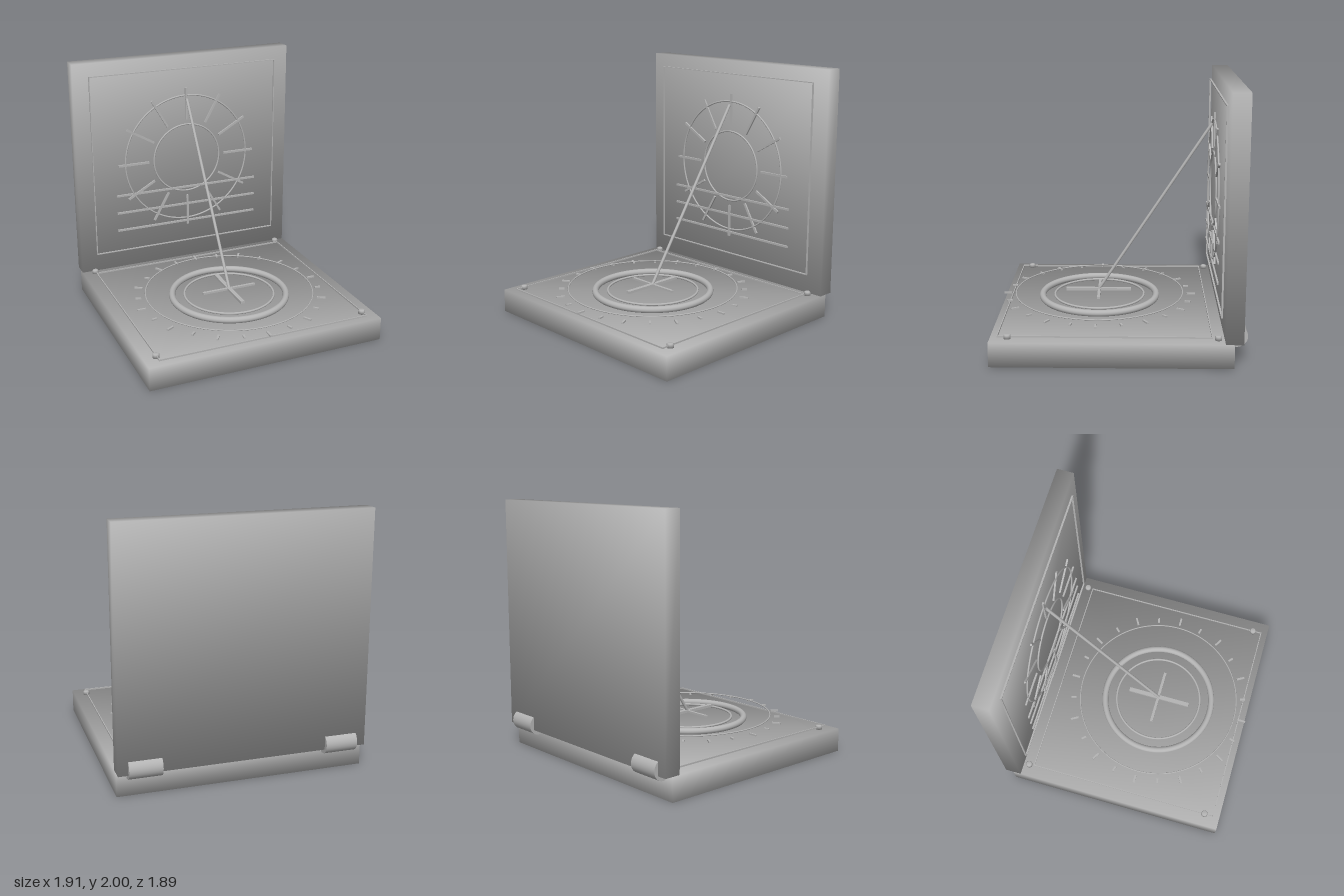
import * as THREE from 'three';

const metal = new THREE.MeshStandardMaterial({ color: 0xb4b4b4 });
metal.name = 'greyMetal';

function add(parent, name, geometry, x = 0, y = 0, z = 0) {
  const mesh = new THREE.Mesh(geometry, metal);
  mesh.name = name;
  mesh.position.set(x, y, z);
  parent.add(mesh);
  return mesh;
}

function group(parent, name, x = 0, y = 0, z = 0) {
  const g = new THREE.Group();
  g.name = name;
  g.position.set(x, y, z);
  parent.add(g);
  return g;
}

// A slab whose corner normals point outwards, so its shading rolls over the edges
function softSlab(w, h, d) {
  const geometry = new THREE.BoxGeometry(w, h, d);
  const { position, normal } = geometry.attributes;
  const n = new THREE.Vector3();
  for (let i = 0; i < position.count; i++) {
    n.fromBufferAttribute(position, i);
    n.set(Math.sign(n.x), Math.sign(n.y), Math.sign(n.z)).normalize();
    normal.setXYZ(i, n.x, n.y, n.z);
  }
  return geometry;
}

// Ring lying in the local xy plane
const ring = (radius, tube) => new THREE.TorusGeometry(radius, tube, 12, 96);

// Thin rectangular border in the local xy plane
function border(parent, name, w, h, t, depth) {
  for (const s of [-1, 1]) {
    add(parent, name + 'Rail', new THREE.BoxGeometry(w, t, depth), 0, s * (h - t) / 2, 0);
    add(parent, name + 'Stile', new THREE.BoxGeometry(t, h - 2 * t, depth), s * (w - t) / 2, 0, 0);
  }
}

// Radial bars in the local xy plane, from inner radius to outer(i)
function ticks(parent, name, count, inner, outer, width, depth) {
  for (let i = 0; i < count; i++) {
    const a = (i / count) * Math.PI * 2;
    const r = (inner + outer(i)) / 2;
    const bar = add(parent, name, new THREE.BoxGeometry(outer(i) - inner, width, depth),
      Math.cos(a) * r, Math.sin(a) * r, 0);
    bar.rotation.z = a;
  }
}

// Straight rod between two points
function rod(parent, name, from, to, radius) {
  const axis = to.clone().sub(from);
  const mid = from.clone().add(to).multiplyScalar(0.5);
  const mesh = add(parent, name, new THREE.CylinderGeometry(radius, radius, axis.length(), 16),
    mid.x, mid.y, mid.z);
  mesh.quaternion.setFromUnitVectors(new THREE.Vector3(0, 1, 0), axis.normalize());
}

export function createModel() {
  const model = new THREE.Group();
  model.name = 'foldingSundial';

  // Two leaves
  add(model, 'baseLeaf', softSlab(1.91, 0.185, 1.785), 0, 0.0925, 0.0475);
  add(model, 'uprightLeaf', softSlab(1.91, 1.815, 0.13), 0, 1.0925, -0.845);

  // Hinges and corner studs
  for (const s of [-1, 1]) {
    const hinge = add(model, 'hingeBarrel', new THREE.CylinderGeometry(0.081, 0.081, 0.25, 32), s * 0.755, 0.223, -0.864);
    hinge.rotation.z = Math.PI / 2;
    for (const z of [-0.733, 0.81]) {
      const profile = [[0, -0.017], [0.026, -0.017], [0.026, 0.01], [0.02, 0.016], [0, 0.017]]
        .map(([r, y]) => new THREE.Vector2(r, y));
      add(model, 'cornerStud', new THREE.LatheGeometry(profile, 20), s * 0.857, 0.2, z);
    }
  }

  // Border lines on both leaves
  const baseBorder = group(model, 'baseBorder', 0, 0.2, 0.098);
  baseBorder.rotation.x = -Math.PI / 2;
  border(baseBorder, 'baseBorder', 1.72, 1.58, 0.007, 0.012);
  const uprightBorder = group(model, 'uprightBorder', 0, 1.118, -0.757);
  border(uprightBorder, 'uprightBorder', 1.655, 1.555, 0.007, 0.014);

  // Horizontal dial: compass rim, inner ring, hour circle and hour marks
  const baseDial = group(model, 'baseDial', 0, 0.24, 0.168);
  baseDial.rotation.x = -Math.PI / 2;
  add(baseDial, 'compassRim', ring(0.46, 0.026), 0, 0, -0.003);
  add(baseDial, 'compassInnerRing', ring(0.36, 0.009), 0, 0, 0);
  add(baseDial, 'hourCircle', ring(0.675, 0.005), 0, 0, 0.024);
  ticks(baseDial, 'hourMark', 24, 0.71, (i) => (i % 2 ? 0.755 : 0.778), 0.016, 0.012);

  // Compass cross
  add(model, 'compassNeedle', new THREE.BoxGeometry(0.034, 0.02, 0.525), 0, 0.278, 0.174);
  add(model, 'compassCrossbar', new THREE.BoxGeometry(0.456, 0.016, 0.022), 0, 0.277, 0.168);

  // Vertical dial: two rings, twelve marks and three scale bars
  const uprightDial = group(model, 'uprightDial', 0, 1.117, -0.736);
  add(uprightDial, 'outerRing', ring(0.55, 0.007));
  add(uprightDial, 'innerRing', ring(0.297, 0.007));
  ticks(uprightDial, 'hourMark', 12, 0.34, () => 0.612, 0.018, 0.014);
  for (const y of [0.54, 0.697, 0.853]) {
    add(model, 'scaleBar', new THREE.BoxGeometry(1.275, 0.016, 0.014), 0, y, -0.736);
  }

  // Slanted shadow rod from the compass centre to the upright leaf
  rod(model, 'gnomon', new THREE.Vector3(0, 0.275, 0.175), new THREE.Vector3(0, 1.64, -0.717), 0.012);

  return model;
}
